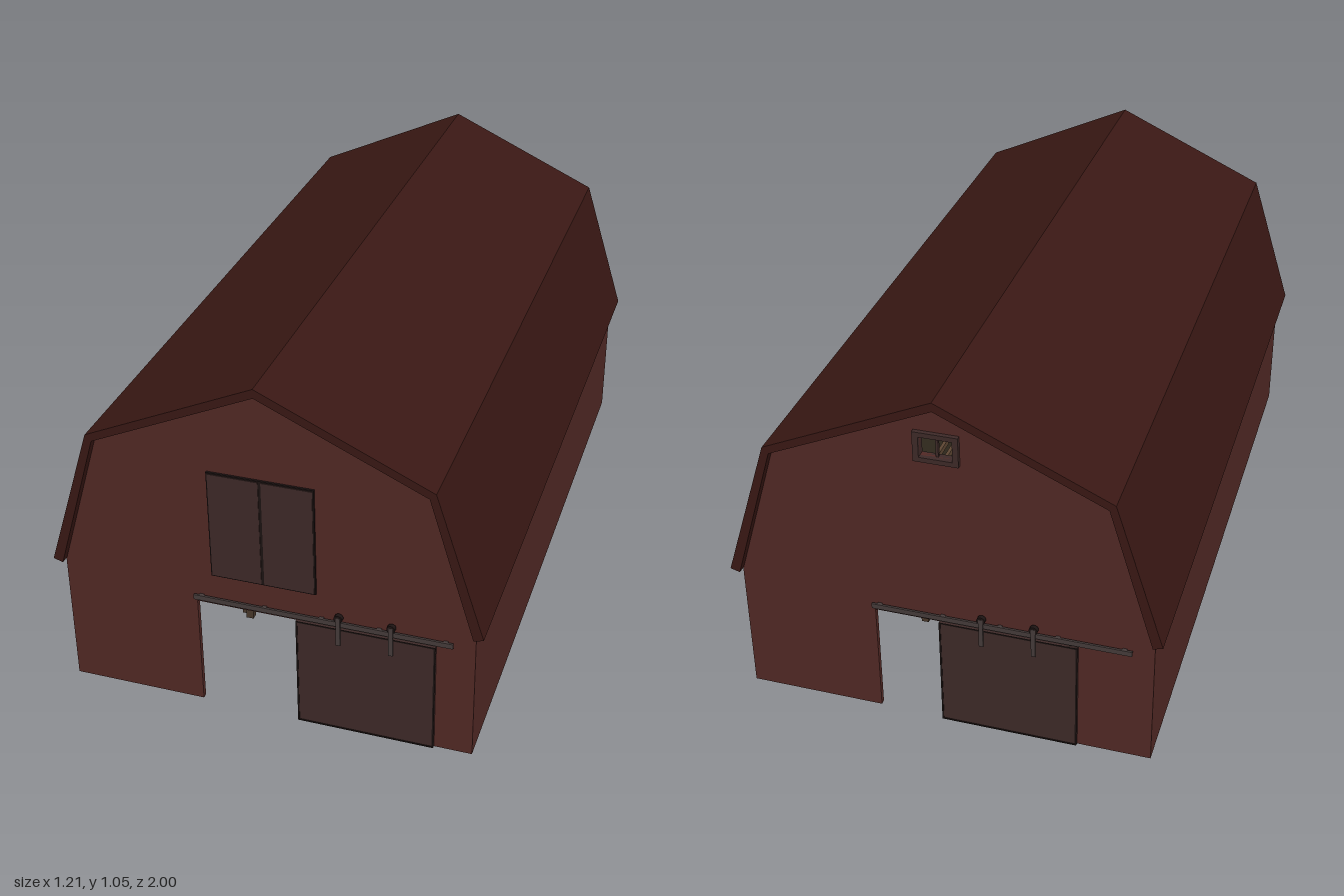
import * as THREE from 'three';

const mat = (color, side = THREE.FrontSide) => new THREE.MeshStandardMaterial({ color, side, flatShading: true });

export function createModel() {
  const barn = new THREE.Group();
  barn.name = 'barn';
  const red = mat(0x522925), roofMat = mat(0x3a1814), doorMat = mat(0x3e2a28);
  const iron = mat(0x463c3b), dark = mat(0x1c1312), wood = mat(0x5e4733), post = mat(0x49382b), loftMat = mat(0x2d261b);

  const add = (parent, name, geo, material, x = 0, y = 0, z = 0) => {
    const m = new THREE.Mesh(geo, material);
    m.name = name;
    m.position.set(x, y, z);
    parent.add(m);
    return m;
  };
  // box given by its min and max corners
  const box = (parent, name, material, x0, x1, y0, y1, z0, z1) =>
    add(parent, name, new THREE.BoxGeometry(x1 - x0, y1 - y0, z1 - z0), material, (x0 + x1) / 2, (y0 + y1) / 2, (z0 + z1) / 2);
  // square bar between two points
  const bar = (parent, name, material, a, b, w) => {
    const p = new THREE.Vector3(...a), q = new THREE.Vector3(...b);
    const m = add(parent, name, new THREE.BoxGeometry(w, w, p.distanceTo(q)), material);
    m.position.copy(p).lerp(q, 0.5);
    m.lookAt(q);
    return m;
  };
  const shapeOf = pts => new THREE.Shape(pts.map(p => new THREE.Vector2(...p)));
  const extrude = (shape, depth) => new THREE.ExtrudeGeometry(shape, { depth, bevelEnabled: false });
  const group = (parent, name) => {
    const g = new THREE.Group();
    g.name = name;
    parent.add(g);
    return g;
  };

  // gambrel roof
  const roofShape = shapeOf([[-0.605, 0.41], [-0.578, 0.402], [-0.455, 0.813], [0, 1.02], [0.455, 0.813], [0.578, 0.402],
    [0.605, 0.41], [0.472, 0.83], [0, 1.046], [-0.472, 0.83]]);
  add(barn, 'roof', extrude(roofShape, 2), roofMat, 0, 0, -1);

  // gable walls with a doorway, the back one with a small window
  const gable = () => shapeOf([[-0.58, 0], [-0.195, 0], [-0.195, 0.34], [0.195, 0.34], [0.195, 0], [0.58, 0],
    [0.58, 0.41], [0.46, 0.817], [0, 1.027], [-0.46, 0.817], [-0.58, 0.41]]);
  add(barn, 'frontWall', extrude(gable(), 0.015), red, 0, 0, 0.96);
  const backShape = gable();
  backShape.holes.push(new THREE.Path([[-0.045, 0.87], [-0.045, 0.93], [0.045, 0.93], [0.045, 0.87]].map(p => new THREE.Vector2(...p))));
  add(barn, 'backWall', extrude(backShape, 0.015), red, 0, 0, -0.975);
  for (const s of [-1, 1]) add(barn, 'sideWall', new THREE.BoxGeometry(0.015, 0.43, 1.95), red, s * 0.5725, 0.215, 0);

  // back window frame
  const frame = group(barn, 'backWindow');
  for (const s of [-1, 1]) {
    add(frame, 'windowJamb', new THREE.BoxGeometry(0.016, 0.085, 0.03), doorMat, s * 0.053, 0.9, -0.972);
    add(frame, 'windowRail', new THREE.BoxGeometry(0.122, 0.014, 0.03), doorMat, 0, 0.9 + s * 0.037, -0.972);
  }
  add(frame, 'windowMullion', new THREE.BoxGeometry(0.007, 0.064, 0.01), doorMat, 0, 0.9, -0.968);

  // sliding door hung from a rail, shift moves it along the rail
  const slidingDoor = shift => {
    const g = group(barn, 'slidingDoor');
    box(g, 'doorPanel', doorMat, 0.09 + shift, 0.475 + shift, 0.004, 0.345, 0.977, 0.986);
    for (const x of [0.09, 0.4705]) box(g, 'doorEdge', dark, x + shift, x + 0.0045 + shift, 0.004, 0.345, 0.977, 0.988);
    for (const y of [0.004, 0.341]) box(g, 'doorEdge', dark, 0.09 + shift, 0.475 + shift, y, y + 0.004, 0.977, 0.988);
    box(g, 'rail', iron, -0.2, 0.522, 0.353, 0.368, 0.982, 0.988);
    for (const x of [-0.18, 0, 0.16, 0.32, 0.5]) box(g, 'railBracket', iron, x - 0.006, x + 0.006, 0.355, 0.366, 0.974, 0.984);
    for (const x of [0.21 + shift, 0.355 + shift]) {
      box(g, 'hanger', iron, x - 0.006, x + 0.006, 0.295, 0.385, 0.988, 0.993);
      const wheel = new THREE.CylinderGeometry(0.012, 0.012, 0.012, 14).rotateX(Math.PI / 2);
      add(g, 'roller', wheel, dark, x, 0.38, 0.986);
    }
    return g;
  };
  slidingDoor(0);
  slidingDoor(-0.1).rotation.y = Math.PI;

  // pair of hay loft doors in the front gable
  for (const s of [-1, 1]) {
    const g = group(barn, 'loftDoor');
    add(g, 'loftDoorEdge', new THREE.BoxGeometry(0.147, 0.327, 0.008), dark, s * 0.0735, 0.602, 0.977);
    add(g, 'loftDoorPanel', new THREE.BoxGeometry(0.139, 0.319, 0.01), doorMat, s * 0.0735, 0.602, 0.978);
  }

  // loft floor around an open centre
  const loft = group(barn, 'loft');
  const floor = shapeOf([[-0.565, -0.96], [0.565, -0.96], [0.565, 0.96], [-0.565, 0.96]]);
  floor.holes.push(new THREE.Path([[-0.19, -0.58], [-0.19, 0.58], [0.19, 0.58], [0.19, -0.58]].map(p => new THREE.Vector2(...p))));
  add(loft, 'loftFloor', extrude(floor, 0.012).rotateX(-Math.PI / 2), loftMat, 0, 0.38, 0);

  // timber frame: posts, beams, knee braces and loft railing
  const bays = [-0.59, -0.2, 0.2, 0.59];
  const timber = group(barn, 'timberFrame');
  for (const s of [-1, 1]) {
    box(timber, 'longBeam', post, s * 0.2 - 0.011, s * 0.2 + 0.011, 0.355, 0.38, -0.96, 0.96);
    for (const z of bays) {
      box(timber, 'post', post, s * 0.2 - 0.011, s * 0.2 + 0.011, 0, 0.5, z - 0.011, z + 0.011);
      box(timber, 'wallPost', post, s * 0.555 - 0.01, s * 0.555 + 0.01, 0, 0.38, z - 0.01, z + 0.01);
      add(timber, 'crossBeam', new THREE.BoxGeometry(0.36, 0.022, 0.02), post, s * 0.38, 0.367, z);
      bar(timber, 'kneeBrace', post, [s * 0.2, 0.28, z], [s * 0.28, 0.362, z], 0.012);
      for (const d of [-1, 1]) bar(timber, 'kneeBrace', post, [s * 0.2, 0.28, z], [s * 0.2, 0.362, z + d * 0.08], 0.012);
    }
    for (const y of [0.43, 0.485]) {
      box(timber, 'loftRailing', wood, s * 0.2 - 0.005, s * 0.2 + 0.005, y, y + 0.018, -0.59, 0.59);
    }
  }
  for (const z of [-0.59, 0.59]) box(timber, 'endBeam', post, -0.2, 0.2, 0.36, 0.38, z - 0.01, z + 0.01);
  for (const y of [0.43, 0.485]) box(timber, 'loftRailing', wood, -0.2, 0.2, y, y + 0.018, -0.595, -0.585);

  // board fence running along local x from its hinge
  const fence = (name, len, rows, x, z, turn) => {
    const g = group(barn, name);
    for (let i = 0; i < rows; i++) add(g, 'board', new THREE.BoxGeometry(len, 0.027, 0.008), wood, len / 2, 0.035 + i * 0.036, 0);
    for (const t of [0.05, 0.95]) add(g, 'batten', new THREE.BoxGeometry(0.012, rows * 0.036 + 0.01, 0.014), post, len * t, 0.018 + rows * 0.018, 0);
    g.position.set(x, 0, z);
    g.rotation.y = turn;
  };

  // stalls on both sides: dividers, front fences and half open gates
  for (const s of [-1, 1]) {
    for (const z of bays) fence('stallDivider', 0.36, 5, s * 0.2, z, s > 0 ? 0 : Math.PI);
    for (const z of bays.slice(1)) {
      fence('stallFence', 0.22, 4, s * 0.2, z, Math.PI / 2);
      fence('stallGate', 0.16, 4, s * 0.205, z - 0.38, s > 0 ? -0.5 : Math.PI + 0.5);
    }
    fence('stallGate', 0.15, 3, s * 0.24, 0.9, s > 0 ? 0.3 : Math.PI - 0.3);
  }

  // steep stairs to the front of the loft
  const stairs = group(barn, 'stairs');
  for (const x of [0.105, 0.183]) bar(stairs, 'stringer', post, [x, 0.01, 0.24], [x, 0.378, 0.58], 0.014);
  for (let i = 1; i < 9; i++) {
    add(stairs, 'tread', new THREE.BoxGeometry(0.078, 0.008, 0.04), wood, 0.144, 0.042 * i, 0.24 + 0.039 * i);
  }
  return barn;
}
